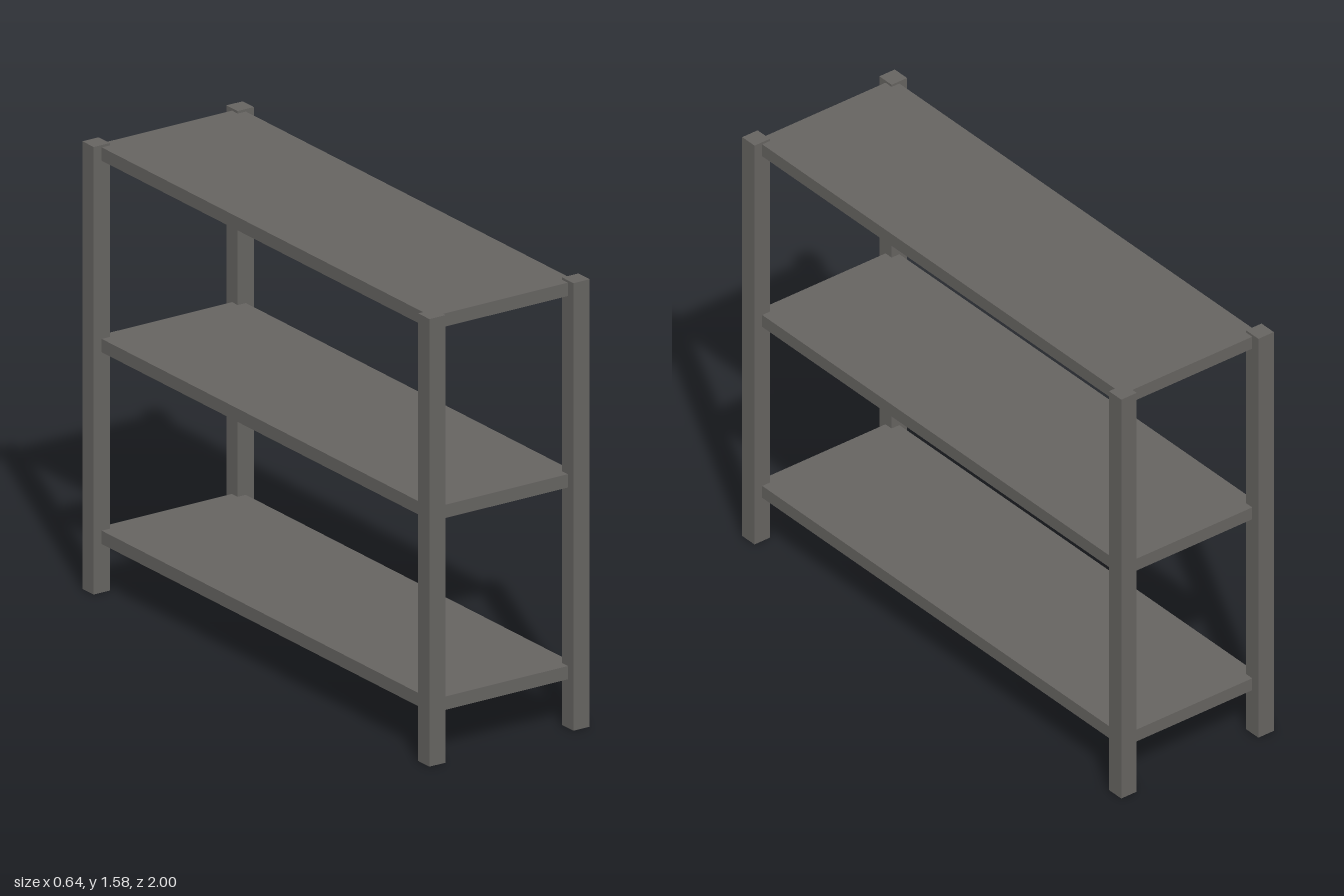
import * as THREE from 'three';

export function createModel() {
  const model = new THREE.Group();
  model.name = 'shelvingUnit';

  const darkGrey = new THREE.MeshStandardMaterial({ color: 0x666461 });
  darkGrey.name = 'darkGrey';

  const addBox = (name, size, position) => {
    const mesh = new THREE.Mesh(new THREE.BoxGeometry(...size), darkGrey);
    mesh.name = name;
    mesh.position.set(...position);
    model.add(mesh);
  };

  const height = 1.58, post = 0.065, halfX = 0.322, halfZ = 1;

  // Four square corner posts
  for (const [side, sx] of [['Left', 1], ['Right', -1]]) {
    for (const [end, sz] of [['front', 1], ['back', -1]]) {
      addBox(`${end}${side}Post`, [post, height, post],
        [sx * (halfX - post / 2), height / 2, sz * (halfZ - post / 2)]);
    }
  }

  // Three shelves, let into the posts to half their thickness
  const shelf = [2 * halfX - post, 0.047, 2 * halfZ - post];
  [['bottomShelf', 0.195], ['middleShelf', 0.872], ['topShelf', 1.548]]
    .forEach(([name, y]) => addBox(name, shelf, [0, y, 0]));

  return model;
}
